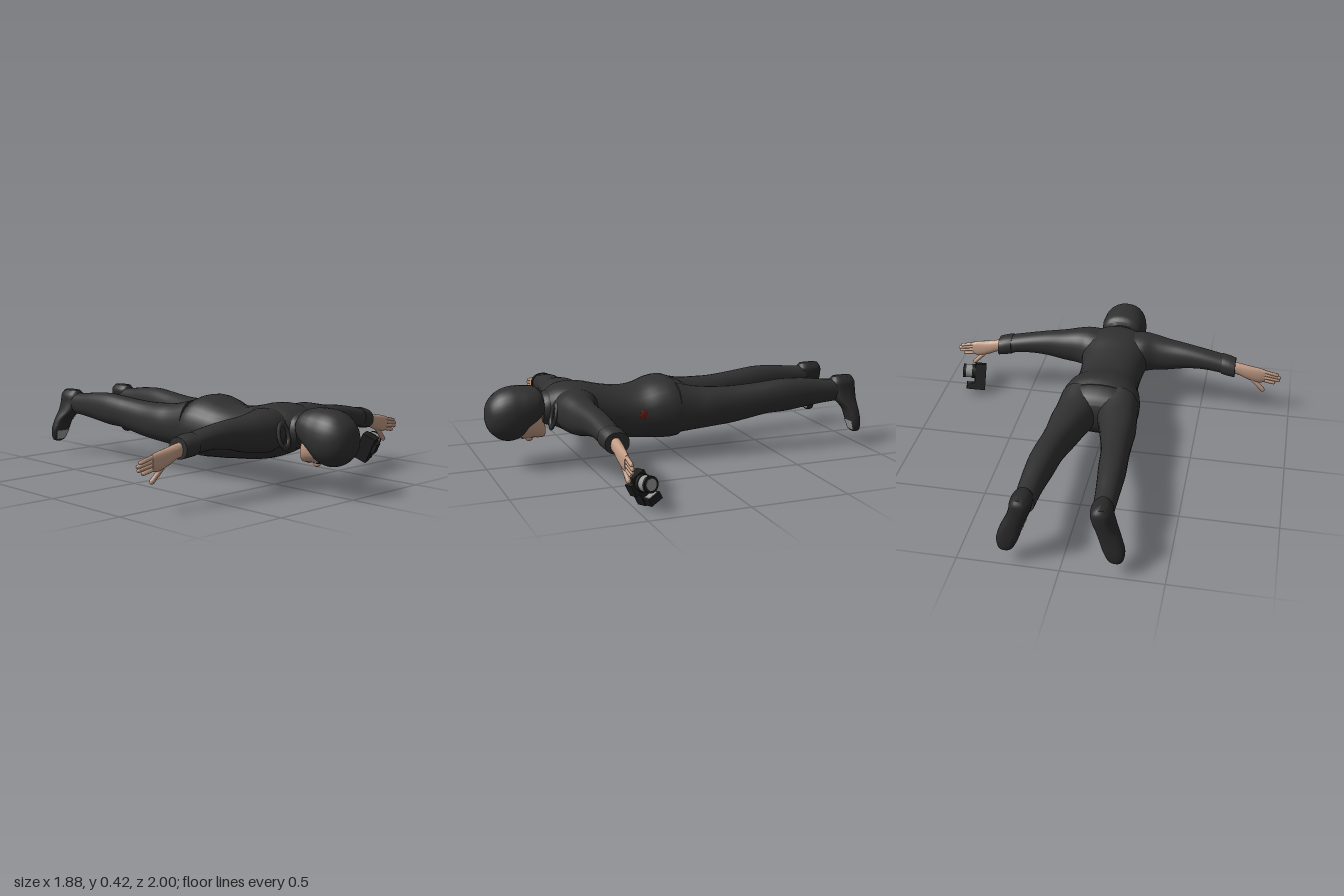
import * as THREE from 'three';
import { toCreasedNormals } from 'three/addons/utils/BufferGeometryUtils.js';

const paint = (name, color) => {
  const m = new THREE.MeshStandardMaterial({ color });
  m.name = name;
  return m;
};

// Catmull-Rom blend of two neighbouring cross-sections
function blend(rows, i, f) {
  const at = (k) => rows[Math.min(Math.max(k, 0), rows.length - 1)];
  const [p, a, b, n] = [at(i - 1), at(i), at(i + 1), at(i + 2)];
  return a.map((_, k) => 0.5 * (2 * a[k] + (b[k] - p[k]) * f +
    (2 * p[k] - 5 * a[k] + 4 * b[k] - n[k]) * f * f +
    (3 * a[k] - p[k] - 3 * b[k] + n[k]) * f * f * f));
}

// Skin over rounded sections [t, uMin, uMax, vMin, vMax] along an axis.
// Axes (u, v): z uses (x, y), x uses (y, z), y uses (z, x).
function loft(axis, rows, { sides = 28, from = 0, to = Math.PI * 2, grow = 0, power = 0.9 } = {}) {
  const slices = [];
  for (let i = 0; i < rows.length - 1; i++) {
    for (let k = 0; k < 4; k++) slices.push(blend(rows, i, k / 4));
  }
  slices.push(rows[rows.length - 1]);
  const pos = [], index = [];
  const place = { x: (t, u, v) => [t, u, v], y: (t, u, v) => [v, t, u], z: (t, u, v) => [u, v, t] }[axis];
  const round = (n) => Math.sign(n) * Math.abs(n) ** power;
  const flip = rows[rows.length - 1][0] < rows[0][0];
  const tri = (a, b, c) => (flip ? index.push(a, c, b) : index.push(a, b, c));
  const w = sides + 1;
  for (const [t, u0, u1, v0, v1] of slices) {
    for (let j = 0; j <= sides; j++) {
      const a = from + (to - from) * j / sides;
      pos.push(...place(t, (u0 + u1) / 2 + ((u1 - u0) / 2 + grow) * round(Math.cos(a)),
        (v0 + v1) / 2 + ((v1 - v0) / 2 + grow) * round(Math.sin(a))));
    }
  }
  for (let i = 0; i < slices.length - 1; i++) {
    for (let j = 0; j < sides; j++) {
      const a = i * w + j;
      tri(a, a + 1, a + w);
      tri(a + 1, a + w + 1, a + w);
    }
  }
  // end caps for closed skins
  if (to - from > 6) {
    [0, slices.length - 1].forEach((i) => {
      const [t, u0, u1, v0, v1] = slices[i];
      const c = pos.length / 3;
      pos.push(...place(t, (u0 + u1) / 2, (v0 + v1) / 2));
      for (let j = 0; j < sides; j++) {
        const a = i * w + j;
        if (i) tri(c, a, a + 1); else tri(c, a + 1, a);
      }
    });
  }
  const g = new THREE.BufferGeometry();
  g.setAttribute('position', new THREE.Float32BufferAttribute(pos, 3));
  g.setIndex(index);
  return g;
}

function mirrored(geo) {
  const g = geo.clone().scale(-1, 1, 1);
  const a = g.index.array;
  for (let i = 0; i < a.length; i += 3) [a[i], a[i + 2]] = [a[i + 2], a[i]];
  return g;
}

const ball = (x, y, z, rx, ry, rz) =>
  new THREE.SphereGeometry(1, 18, 12).scale(rx, ry, rz).translate(x, y, z);

// Capsule between two points, flattened front to back
function finger(a, b, r) {
  const p = new THREE.Vector3(...a), q = new THREE.Vector3(...b);
  const d = q.clone().sub(p);
  const turn = new THREE.Quaternion().setFromUnitVectors(new THREE.Vector3(0, 1, 0), d.clone().normalize());
  const mid = p.add(q).multiplyScalar(0.5);
  return new THREE.CapsuleGeometry(r, d.length(), 5, 10).applyQuaternion(turn).translate(mid.x, mid.y, mid.z);
}

export function createModel() {
  const cloth = paint('dark cloth', 0x303030);
  const leather = paint('shoe leather', 0x29292a);
  const skin = paint('skin', 0xc19b85);
  const grey = paint('light grey', 0x979797);
  const black = paint('black plastic', 0x1d1d1d);
  const red = paint('dark red', 0x6b2018);
  const hair = paint('brow brown', 0x3a2a22);
  const white = paint('eye white', 0xd0c8c0);
  const lip = paint('lip', 0x9c6a5c);

  const model = new THREE.Group();
  const add = (name, geo, mat, parent = model) => {
    const mesh = new THREE.Mesh(toCreasedNormals(geo, 0.9), mat);
    mesh.name = name;
    parent.add(mesh);
    return mesh;
  };
  const pair = (name, geo, mat) => {
    add('left ' + name, geo, mat);
    add('right ' + name, mirrored(geo), mat);
  };

  // jacket and trousers seat
  add('jacket', loft('z', [
    [0.01, -0.212, 0.212, 0.095, 0.405], [0.06, -0.212, 0.212, 0.09, 0.42], [0.13, -0.2, 0.2, 0.095, 0.41],
    [0.21, -0.178, 0.178, 0.1, 0.385], [0.3, -0.168, 0.168, 0.11, 0.38], [0.4, -0.173, 0.173, 0.12, 0.395],
    [0.5, -0.19, 0.19, 0.14, 0.418], [0.58, -0.19, 0.19, 0.17, 0.42], [0.64, -0.15, 0.15, 0.2, 0.405],
    [0.69, -0.09, 0.09, 0.22, 0.375],
  ]), cloth);
  add('trouser seat', loft('z', [
    [-0.09, -0.2, 0.2, 0.2, 0.33], [-0.06, -0.215, 0.215, 0.15, 0.37],
    [0, -0.21, 0.21, 0.13, 0.4], [0.05, -0.2, 0.2, 0.13, 0.4],
  ]), cloth);
  pair('leg', loft('z', [
    [0.02, 0.005, 0.21, 0.13, 0.395], [-0.08, 0.008, 0.218, 0.14, 0.37], [-0.16, 0.03, 0.226, 0.15, 0.362],
    [-0.28, 0.06, 0.226, 0.163, 0.358], [-0.4, 0.085, 0.23, 0.185, 0.365], [-0.48, 0.095, 0.236, 0.2, 0.372],
    [-0.58, 0.105, 0.241, 0.205, 0.38], [-0.7, 0.12, 0.24, 0.22, 0.375], [-0.8, 0.13, 0.238, 0.232, 0.362],
    [-0.89, 0.136, 0.236, 0.238, 0.355],
  ]), cloth);
  add('stain', ball(0.176, 0.255, 0.21, 0.004, 0.026, 0.03).rotateY(0), red);

  // sleeves
  pair('sleeve', loft('x', [
    [0.06, 0.22, 0.4, 0.45, 0.67], [0.15, 0.195, 0.41, 0.45, 0.675], [0.22, 0.2, 0.4, 0.478, 0.662],
    [0.3, 0.212, 0.385, 0.486, 0.643], [0.4, 0.236, 0.374, 0.487, 0.62], [0.5, 0.246, 0.358, 0.485, 0.605],
    [0.6, 0.238, 0.338, 0.482, 0.598], [0.67, 0.228, 0.322, 0.477, 0.588],
  ]), cloth);
  pair('cuff', loft('x', [
    [0.605, 0.232, 0.34, 0.478, 0.602], [0.64, 0.226, 0.336, 0.473, 0.596], [0.68, 0.222, 0.324, 0.471, 0.59],
  ]), cloth);

  // collar, with a loop of cloth at each side
  add('collar', loft('z', [
    [0.63, -0.1, 0.1, 0.21, 0.39], [0.68, -0.1, 0.1, 0.21, 0.385], [0.715, -0.085, 0.085, 0.225, 0.37],
  ]), cloth);
  pair('collar loop', new THREE.TorusGeometry(0.034, 0.01, 8, 20).scale(1, 1.7, 1)
    .rotateX(-0.25).translate(0.135, 0.285, 0.68), cloth);

  // hood and face, looking down
  add('hood', loft('z', [
    [0.715, -0.095, 0.095, 0.265, 0.39], [0.74, -0.112, 0.112, 0.24, 0.412], [0.79, -0.122, 0.122, 0.2, 0.42],
    [0.83, -0.125, 0.125, 0.16, 0.422], [0.88, -0.124, 0.124, 0.147, 0.418], [0.93, -0.11, 0.11, 0.158, 0.4],
    [0.97, -0.083, 0.083, 0.19, 0.365], [0.99, -0.05, 0.05, 0.225, 0.33], [1, -0.008, 0.008, 0.27, 0.285],
  ]), cloth);
  add('face', loft('z', [
    [0.695, -0.025, 0.025, 0.16, 0.21], [0.705, -0.045, 0.045, 0.148, 0.25], [0.74, -0.072, 0.072, 0.15, 0.3],
    [0.79, -0.088, 0.088, 0.153, 0.33], [0.85, -0.09, 0.09, 0.16, 0.33],
  ]), skin);
  add('neck', loft('z', [[0.66, -0.06, 0.06, 0.23, 0.36], [0.76, -0.06, 0.06, 0.23, 0.36]]), skin);
  add('nose', ball(0, 0.151, 0.776, 0.015, 0.021, 0.022), skin);
  add('mouth', ball(0, 0.15, 0.735, 0.024, 0.004, 0.006), lip);
  pair('eye', ball(0.035, 0.16, 0.803, 0.014, 0.004, 0.006), white);
  pair('pupil', ball(0.035, 0.157, 0.803, 0.005, 0.003, 0.005), black);
  pair('brow', ball(0.037, 0.16, 0.82, 0.02, 0.004, 0.004), hair);

  // hands
  pair('palm', loft('x', [
    [0.65, 0.235, 0.305, 0.51, 0.565], [0.7, 0.228, 0.298, 0.513, 0.562], [0.75, 0.205, 0.288, 0.515, 0.562],
    [0.81, 0.186, 0.277, 0.522, 0.56], [0.85, 0.19, 0.267, 0.53, 0.556],
  ], { sides: 20 }), skin);
  for (let i = 0; i < 4; i++) {
    const tip = [0.915, 0.93, 0.925, 0.9][i];
    pair('finger ' + (i + 1),
      finger([0.83, 0.259 - i * 0.019, 0.543], [tip, 0.24 - i * 0.017, 0.545], 0.0098), skin);
  }
  pair('thumb', finger([0.77, 0.215, 0.54], [0.842, 0.143, 0.535], 0.0125), skin);

  // shoes, toes hanging down and turned out
  const shoe = [
    [0.075, -0.985, -0.96, 0.25, 0.275], [0.09, -0.995, -0.945, 0.225, 0.297], [0.14, -0.998, -0.932, 0.2, 0.305],
    [0.2, -0.995, -0.915, 0.18, 0.288], [0.25, -0.995, -0.875, 0.16, 0.262], [0.3, -0.997, -0.86, 0.142, 0.246],
    [0.345, -0.995, -0.856, 0.138, 0.238], [0.372, -0.98, -0.87, 0.16, 0.216],
  ];
  pair('shoe', loft('y', shoe, { power: 0.75 }), leather);
  pair('shoe toe patch', loft('y', shoe.slice(1, 3), { power: 0.75, from: -0.9, to: 0.7, grow: 0.003 }), grey);
  pair('shoe side patch', loft('y', shoe.slice(3, 5), { power: 0.75, from: -1.9, to: -0.7, grow: 0.003 }), grey);

  // hand-held camera, tilted under the left hand
  const cam = new THREE.Group();
  cam.name = 'camera';
  cam.position.set(0.802, 0.092, 0.455);
  cam.rotation.set(0.45, 0.3, 0);
  model.add(cam);
  const box = (name, w, h, d, x, y, z, mat) =>
    add(name, new THREE.BoxGeometry(w, h, d).translate(x, y, z), mat, cam);
  const drum = (name, r, len, x, mat) =>
    add(name, new THREE.CylinderGeometry(r, r, len, 24).rotateZ(Math.PI / 2).translate(x, 0.028, 0), mat, cam);
  box('camera body', 0.062, 0.15, 0.078, -0.01, 0, 0, black);
  box('camera grip', 0.05, 0.036, 0.07, 0.04, -0.056, 0, black);
  box('viewfinder', 0.05, 0.06, 0.022, -0.005, 0.02, 0.048, black);
  box('grip plate', 0.04, 0.004, 0.05, 0.04, -0.037, 0, grey);
  drum('lens base', 0.042, 0.02, 0.03, black);
  drum('lens barrel', 0.038, 0.042, 0.055, grey);
  drum('lens rim', 0.04, 0.014, 0.082, black);
  drum('lens glass', 0.028, 0.004, 0.09, grey);

  return model;
}
